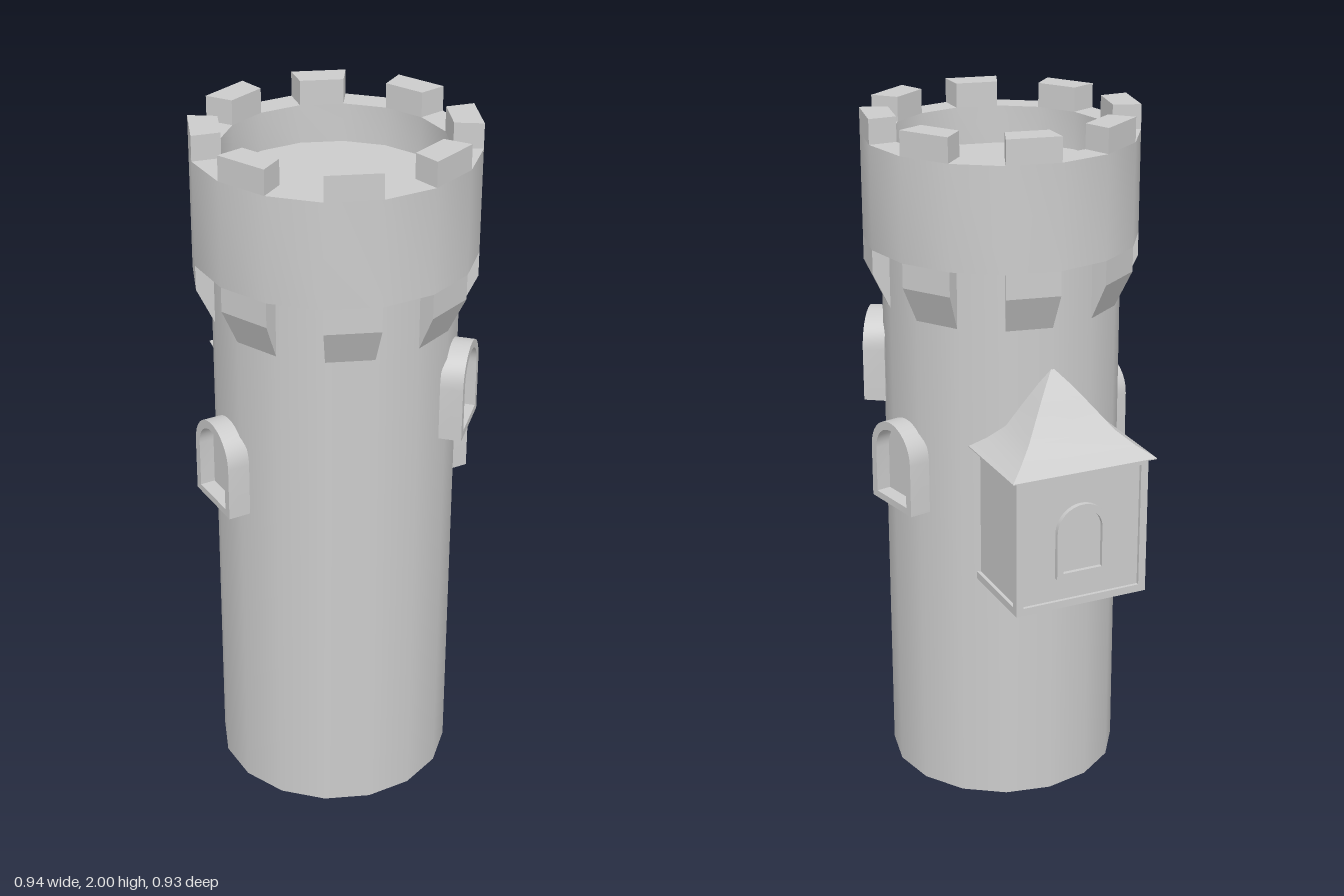
import * as THREE from 'three';
import { toCreasedNormals } from 'three/addons/utils/BufferGeometryUtils.js';
import { ConvexGeometry } from 'three/addons/geometries/ConvexGeometry.js';

const SIDES = 16, STEP = (Math.PI * 2) / SIDES;
const R_OUT = 0.39, R_IN = 0.31, R_WALL = 0.34;

export function createModel() {
  const model = new THREE.Group();
  model.name = 'tower';
  model.position.set(0.068, 0, 0.078);
  const root = new THREE.Group();
  root.add(model);

  const mat = new THREE.MeshStandardMaterial({ color: 0xcccccc });
  const openMat = new THREE.MeshStandardMaterial({ color: 0xcccccc, side: THREE.DoubleSide });

  const add = (parent, name, geometry, material = mat) => {
    const mesh = new THREE.Mesh(geometry, material);
    mesh.name = name;
    parent.add(mesh);
    return mesh;
  };

  // Turned profile with sharp edges but smooth round walls
  const turned = (points, sides, start = 0) => toCreasedNormals(
    new THREE.LatheGeometry(points.map(([r, y]) => new THREE.Vector2(r, y)), sides, start), 0.5);

  // Convex cross-section swept over one side of the tower
  const wedge = (index, section) => new ConvexGeometry([0, 1].flatMap((k) => {
    const a = (index + k) * STEP;
    return section.map(([r, y]) => new THREE.Vector3(r * Math.cos(a), y, r * Math.sin(a)));
  }));

  // Group whose local +z points outward at an angle measured from +x towards +z
  const facing = (name, degrees) => {
    const group = new THREE.Group();
    group.name = name;
    group.rotation.y = Math.PI / 2 - THREE.MathUtils.degToRad(degrees);
    model.add(group);
    return group;
  };

  // Round-arched outline
  const arch = (Type, half, bottom, spring) => {
    const s = new Type();
    s.moveTo(-half, bottom);
    s.lineTo(half, bottom);
    s.lineTo(half, spring);
    s.absarc(0, spring, half, 0, Math.PI, false);
    s.lineTo(-half, bottom);
    return s;
  };

  // Arched window frame with a recessed pane
  const addWindow = (parent, half, height, y, back, front, pane) => {
    const spring = height - half, rim = half * 0.24;
    const frame = arch(THREE.Shape, half, 0, spring);
    frame.holes.push(arch(THREE.Path, half - rim, rim * 0.85, spring));
    const geo = new THREE.ExtrudeGeometry(frame,
      { depth: front - back, bevelEnabled: false, curveSegments: 8 });
    add(parent, 'windowFrame', toCreasedNormals(geo, 0.5)).position.set(0, y, back);
    const glass = new THREE.ShapeGeometry(arch(THREE.Shape, half - rim / 2, rim / 2, spring), 8);
    add(parent, 'windowPane', glass).position.set(0, y, pane);
  };

  // Tower shaft, open at the base
  add(model, 'shaft', new THREE.CylinderGeometry(R_WALL, R_WALL, 1.635, SIDES, 1, true), openMat)
    .position.y = 1.635 / 2;

  // Overhanging parapet with its sunken roof deck
  add(model, 'parapet', turned(
    [[0.32, 1.635], [R_OUT, 1.635], [R_OUT, 1.93], [R_IN, 1.93], [R_IN, 1.82], [0, 1.82]], SIDES));

  // Merlons and the corbels beneath them on every other side
  for (let i = 0; i < SIDES; i += 2) {
    add(model, 'merlon', wedge(i, [[R_IN, 1.93], [R_OUT, 1.93], [R_OUT, 2], [R_IN, 2]]));
    add(model, 'corbel', wedge(i,
      [[0.32, 1.46], [R_WALL, 1.46], [R_OUT, 1.565], [R_OUT, 1.635], [0.32, 1.635]]));
  }

  // Windows around the shaft: angle and sill height
  for (const [angle, sill] of [[123.75, 0.94], [-11.25, 1.145], [-56.25, 0.893]]) {
    addWindow(facing('window', angle), 0.1, 0.255, sill, 0.324, 0.388, 0.345);
  }

  // Square bay hanging from the back of the shaft
  const bay = facing('bay', 225);
  const centre = 0.335, half = 0.2, low = 0.71, high = 1.12, border = 0.022, inset = 0.01;
  add(bay, 'bayCore', new THREE.BoxGeometry(2 * (half - inset), high - low, 2 * (half - inset)))
    .position.set(0, (low + high) / 2, centre);

  // Raised borders around the three exposed faces
  const rect = (Type, x, y0, y1) => new Type([[-x, y0], [x, y0], [x, y1], [-x, y1]]
    .map(([px, py]) => new THREE.Vector2(px, py)));
  const borderShape = rect(THREE.Shape, half, low, high);
  borderShape.holes.push(rect(THREE.Path, half - border, low + border, high - border));
  const borderGeo = new THREE.ExtrudeGeometry(borderShape, { depth: inset, bevelEnabled: false });
  borderGeo.translate(0, 0, half - inset);
  for (const turn of [-1, 0, 1]) {
    const panel = add(bay, 'bayBorder', borderGeo);
    panel.position.z = centre;
    panel.rotation.y = (turn * Math.PI) / 2;
  }
  add(bay, 'bayFloor', new THREE.BoxGeometry(2 * half, inset, 2 * half))
    .position.set(0, low + inset / 2, centre);

  // Flared pyramid roof over the bay
  const eave = 0.217 * Math.SQRT2;
  const slope = [[1, 1.118], [0.8, 1.147], [0.6, 1.185], [0.36, 1.253], [0.18, 1.302], [0, 1.345]];
  add(bay, 'bayRoof', turned(
    [[0, 1.115], [eave, 1.115], ...slope.map(([t, y]) => [t * eave, y])], 4, Math.PI / 4))
    .position.z = centre;

  // Small window on the outer face of the bay
  addWindow(bay, 0.078, 0.215, 0.8, centre + half - 0.02, centre + half + 0.004, centre + half - 0.008);

  return root;
}
